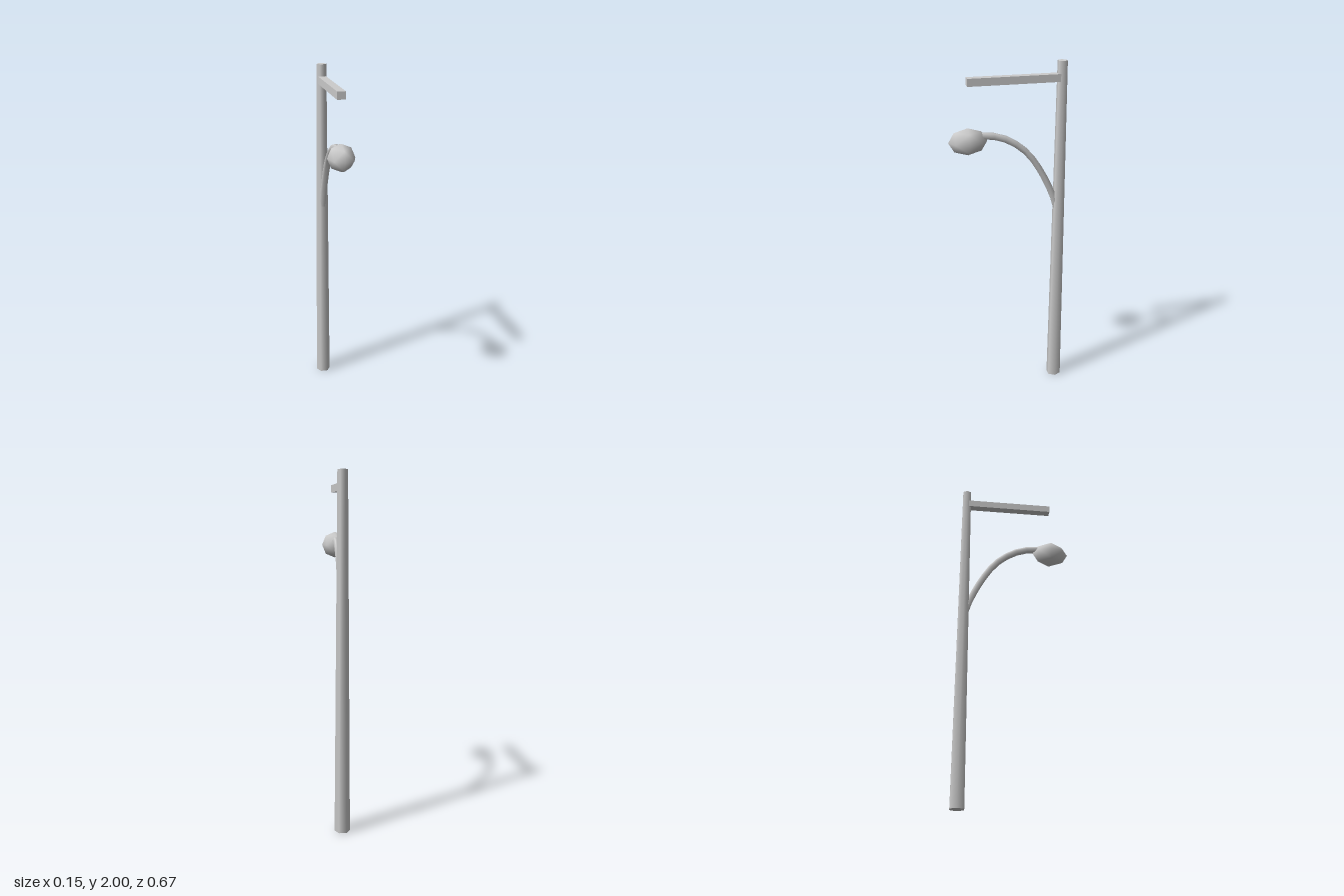
import * as THREE from 'three';

const material = new THREE.MeshStandardMaterial({ color: 0xcccccc });
const POLE_Z = -0.298;

function addPart(group, name, geometry, x = 0, y = 0, z = 0) {
  const mesh = new THREE.Mesh(geometry, material);
  mesh.name = name;
  mesh.position.set(x, y, z);
  group.add(mesh);
  return mesh;
}

export function createModel() {
  const group = new THREE.Group();
  group.name = 'streetLamp';

  // Tapered hexagonal pole, corners pointing left and right
  const pole = new THREE.CylinderGeometry(0.028, 0.044, 2, 6);
  pole.rotateY(Math.PI / 6);
  addPart(group, 'pole', pole, 0, 1, POLE_Z);

  // Straight crossbar near the top, running forward from inside the pole
  const barBack = -0.285, barFront = 0.227;
  addPart(group, 'crossbar', new THREE.BoxGeometry(0.046, 0.042, barFront - barBack),
    0, 1.91, (barFront + barBack) / 2);

  // Curved hexagonal arm rising from the pole to the lamp
  const path = new THREE.CatmullRomCurve3([
    [1.15, -0.287], [1.23, -0.262], [1.38, -0.19], [1.5, -0.105],
    [1.575, -0.005], [1.608, 0.09], [1.613, 0.15],
  ].map(([y, z]) => new THREE.Vector3(0, y, z)));
  addPart(group, 'arm', new THREE.TubeGeometry(path, 10, 0.02, 6));

  // Faceted lamp head, stretched front to back
  const lamp = addPart(group, 'lampHead', new THREE.OctahedronGeometry(1, 1), 0, 1.585, 0.227);
  lamp.scale.set(0.076, 0.076, 0.108);

  return group;
}
